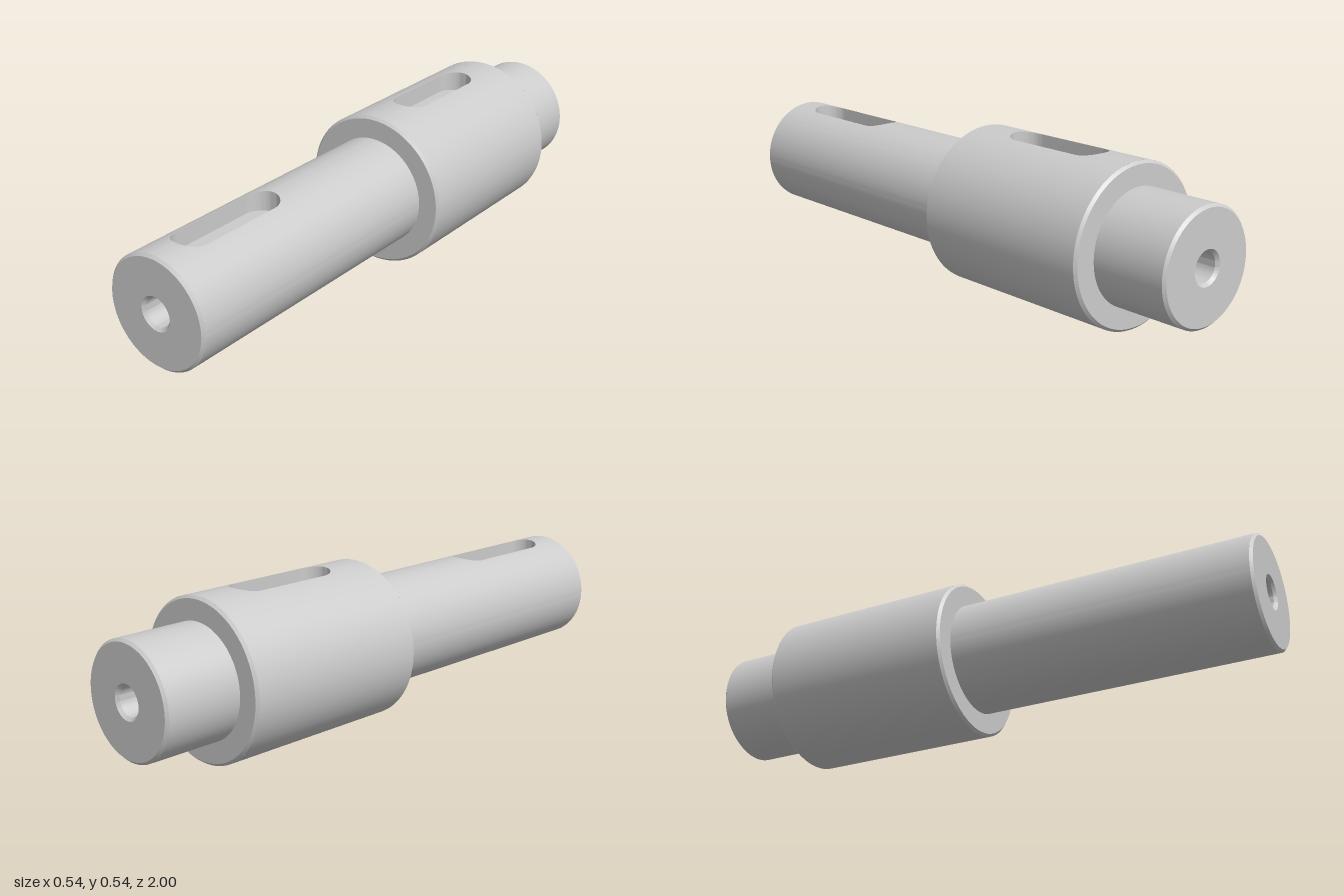
import * as THREE from 'three';
import { toCreasedNormals } from 'three/addons/utils/BufferGeometryUtils.js';

const AXIS_Y = 0.269, R_SHAFT = 0.191, R_BODY = 0.269, CHAMFER = 0.009;
const BODY_BACK = -0.73, BODY_FRONT = -0.045;
const SLOT_HALF = 0.0625, SLOT_DEPTH = 0.07, SEGMENTS = 96;

const material = new THREE.MeshStandardMaterial({ color: 0xcccccc, side: THREE.DoubleSide });

function addMesh(group, name, geometry) {
  const mesh = new THREE.Mesh(toCreasedNormals(geometry, 0.45), material);
  mesh.name = name;
  group.add(mesh);
}

function quadBuilder() {
  const positions = [];
  return {
    quad(a, b, c, d) {
      for (const p of [a, b, c, a, c, d]) positions.push(...p);
    },
    build() {
      const geometry = new THREE.BufferGeometry();
      geometry.setAttribute('position', new THREE.Float32BufferAttribute(positions, 3));
      return geometry;
    },
  };
}

// Turned surface along z from [radius, z] pairs
function turned(profile) {
  const points = profile.map(([r, z]) => new THREE.Vector2(r, z));
  return new THREE.LatheGeometry(points, SEGMENTS).rotateX(Math.PI / 2);
}

// Cylinder wall from z0 to z1 with a round-ended opening on top, plus its pocket
function keyedSection(group, name, radius, z0, z1, slotBack, slotFront) {
  const wall = quadBuilder(), pocket = quadBuilder();
  const floor = radius - SLOT_DEPTH;
  const onTop = (x, z) => [x, Math.sqrt(radius * radius - x * x), z];

  // Columns across the opening
  const columns = [];
  for (let i = 0; i <= 24; i++) {
    const phi = (i / 24 - 0.5) * Math.PI;
    const cap = SLOT_HALF * (1 - Math.cos(phi));
    columns.push({ x: SLOT_HALF * Math.sin(phi), back: slotBack + cap, front: slotFront - cap });
  }
  for (let i = 0; i < columns.length - 1; i++) {
    const a = columns[i], b = columns[i + 1];
    wall.quad(onTop(a.x, a.back), onTop(b.x, b.back), onTop(b.x, z0), onTop(a.x, z0));
    wall.quad(onTop(a.x, z1), onTop(b.x, z1), onTop(b.x, b.front), onTop(a.x, a.front));
    pocket.quad([a.x, floor, a.front], [b.x, floor, b.front], [b.x, floor, b.back], [a.x, floor, a.back]);
  }

  // Remaining arc of the cylinder
  const start = Math.asin(SLOT_HALF / radius), span = 2 * (Math.PI - start);
  const onArc = (i, z) => {
    const t = start + (span * i) / SEGMENTS;
    return [radius * Math.sin(t), radius * Math.cos(t), z];
  };
  for (let i = 0; i < SEGMENTS; i++) {
    wall.quad(onArc(i, z1), onArc(i + 1, z1), onArc(i + 1, z0), onArc(i, z0));
  }

  // Pocket side walls around the outline
  const outline = [
    ...columns.map((c) => [c.x, c.back]),
    ...columns.map((c) => [c.x, c.front]).reverse(),
  ];
  outline.forEach(([x, z], i) => {
    const [nx, nz] = outline[(i + 1) % outline.length];
    pocket.quad([x, floor, z], [nx, floor, nz], onTop(nx, nz), onTop(x, z));
  });

  addMesh(group, name, wall.build());
  addMesh(group, name + 'Keyway', pocket.build());
}

export function createModel() {
  const group = new THREE.Group();
  group.name = 'shaft';
  const c = CHAMFER;

  // End face with centre bore, from bore floor to chamfered rim
  const end = [[0, 0.8], [0.048, 0.8], [0.048, 0.99], [0.058, 1], [R_SHAFT - c, 1], [R_SHAFT, 1 - c]];

  // Rear journal and rear shoulder
  addMesh(group, 'rearJournal', turned([
    ...end.map(([r, z]) => [r, -z]),
    [R_SHAFT, BODY_BACK], [R_BODY - c, BODY_BACK], [R_BODY, BODY_BACK + c],
  ]));

  // Thick body with keyway
  keyedSection(group, 'body', R_BODY, BODY_BACK + c, BODY_FRONT - c, -0.585, -0.195);

  // Front shoulder
  addMesh(group, 'frontShoulder', turned([
    [R_BODY, BODY_FRONT - c], [R_BODY - c, BODY_FRONT], [R_SHAFT, BODY_FRONT],
  ]));

  // Long front shaft with keyway, and its end
  keyedSection(group, 'frontShaft', R_SHAFT, BODY_FRONT, 1 - c, 0.475, 0.9);
  addMesh(group, 'frontEnd', turned([...end].reverse()));

  for (const mesh of group.children) mesh.position.y = AXIS_Y;
  return group;
}
